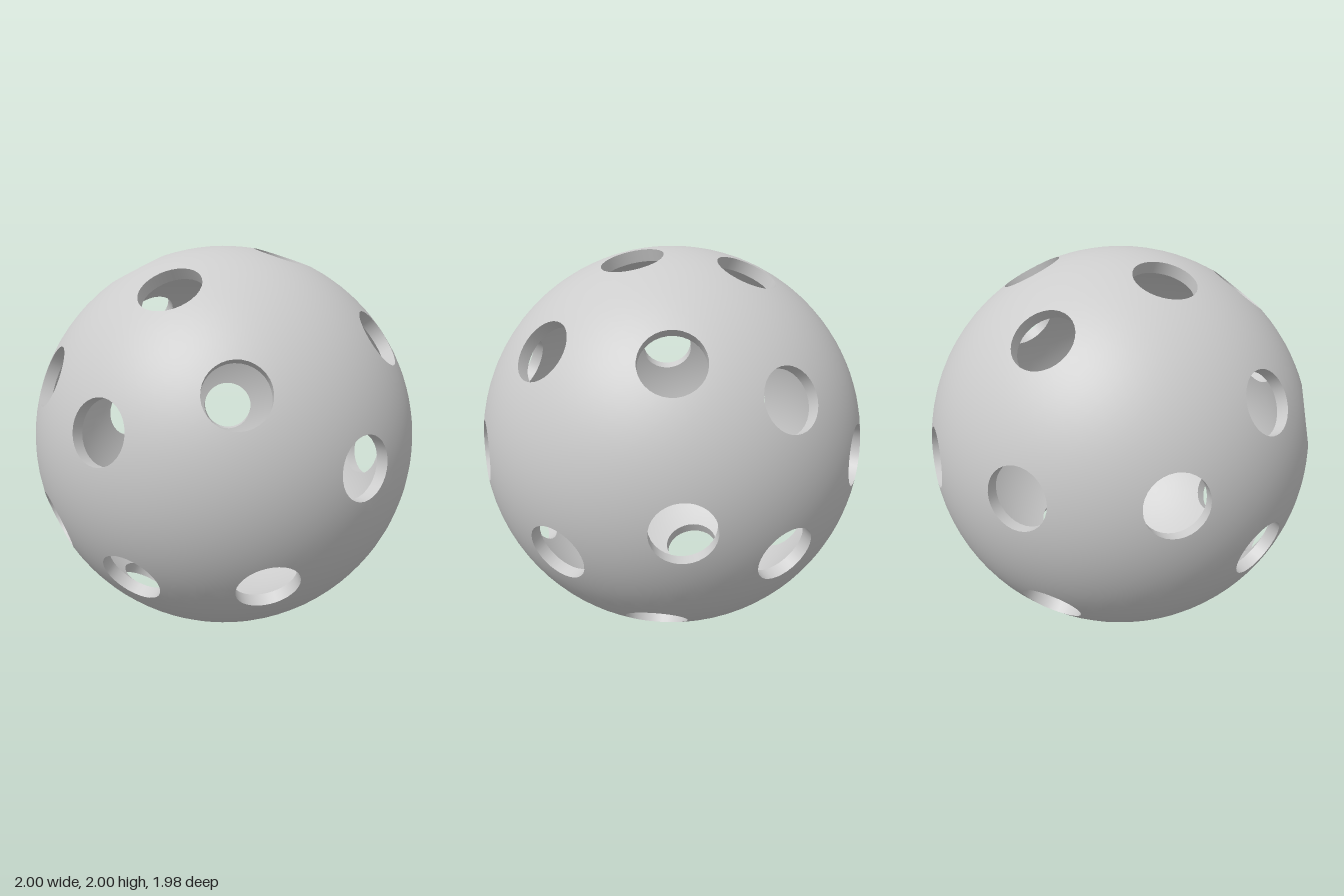
import * as THREE from 'three';
import { ConvexGeometry } from 'three/addons/geometries/ConvexGeometry.js';

const OUTER = 1, INNER = 0.94, HOLE = 0.155, SIDES = 32, FILL = 2600;
const UP = new THREE.Vector3(0, 1, 0);

// Hole directions: two poles, then rings about the z axis
function holeDirections() {
  const dirs = [];
  const ring = (polar, start, count) => {
    const p = THREE.MathUtils.degToRad(polar);
    for (let i = 0; i < count; i++) {
      const a = THREE.MathUtils.degToRad(start + (i * 360) / count);
      dirs.push(new THREE.Vector3(Math.sin(p) * Math.cos(a), Math.sin(p) * Math.sin(a), Math.cos(p)));
    }
  };
  ring(0, 0, 1);
  ring(41.5, -33, 4);
  ring(74.8, -10.5, 8);
  ring(105.2, 22.5, 8);
  ring(138.5, 0, 4);
  ring(180, 0, 1);
  return dirs;
}

const turnTo = (dir) => new THREE.Quaternion().setFromUnitVectors(UP, dir);

// Sphere skin of a given radius with round openings left out
function shellGeometry(radius, dirs, inward) {
  const angle = Math.asin(HOLE / radius);
  const height = Math.cos(angle);
  const points = [];

  // rim of every hole, with a temporary centre point
  for (const dir of dirs) {
    const q = turnTo(dir);
    points.push(dir.clone());
    for (let i = 0; i < SIDES; i++) {
      const t = (i / SIDES) * Math.PI * 2;
      const s = HOLE / radius;
      points.push(new THREE.Vector3(s * Math.sin(t), height, s * Math.cos(t)).applyQuaternion(q));
    }
  }

  // even spread of points over the rest of the sphere
  const clear = Math.cos(angle + 0.03);
  for (let i = 0; i < FILL; i++) {
    const y = 1 - (2 * i + 1) / FILL;
    const r = Math.sqrt(1 - y * y);
    const a = i * Math.PI * (3 - Math.sqrt(5));
    const p = new THREE.Vector3(r * Math.cos(a), y, r * Math.sin(a));
    if (dirs.every((d) => d.dot(p) < clear)) points.push(p);
  }

  // keep the hull triangles that do not cover a hole
  const src = new ConvexGeometry(points).getAttribute('position');
  const inside = Math.cos(angle * 0.9);
  const position = [], normal = [];
  for (let i = 0; i < src.count; i += 3) {
    const tri = [0, 1, 2].map((k) => new THREE.Vector3().fromBufferAttribute(src, i + k));
    const mid = tri[0].clone().add(tri[1]).add(tri[2]).normalize();
    if (dirs.some((d) => d.dot(mid) > inside)) continue;
    if (inward) tri.reverse();
    for (const v of tri) {
      v.normalize();
      const n = inward ? -1 : 1;
      position.push(v.x * radius, v.y * radius, v.z * radius);
      normal.push(v.x * n, v.y * n, v.z * n);
    }
  }
  const geometry = new THREE.BufferGeometry();
  geometry.setAttribute('position', new THREE.Float32BufferAttribute(position, 3));
  geometry.setAttribute('normal', new THREE.Float32BufferAttribute(normal, 3));
  return geometry;
}

export function createModel() {
  const plastic = new THREE.MeshStandardMaterial({ color: 0xcccccc, side: THREE.DoubleSide });
  plastic.name = 'light grey plastic';

  const model = new THREE.Group();
  model.name = 'perforatedBall';
  const ball = new THREE.Group();
  ball.name = 'ball';
  ball.position.y = 1;
  model.add(ball);

  const dirs = holeDirections();
  const add = (name, geometry) => {
    const mesh = new THREE.Mesh(geometry, plastic);
    mesh.name = name;
    ball.add(mesh);
    return mesh;
  };

  // outer and inner skins
  add('outerShell', shellGeometry(OUTER, dirs, false));
  add('innerShell', shellGeometry(INNER, dirs, true));

  // short tubes that close the shell thickness at each hole
  const top = Math.sqrt(OUTER ** 2 - HOLE ** 2);
  const bottom = Math.sqrt(INNER ** 2 - HOLE ** 2);
  const wall = new THREE.CylinderGeometry(HOLE, HOLE, top - bottom, SIDES, 1, true);
  wall.translate(0, (top + bottom) / 2, 0);
  for (const dir of dirs) add('holeWall', wall).quaternion.copy(turnTo(dir));

  return model;
}
